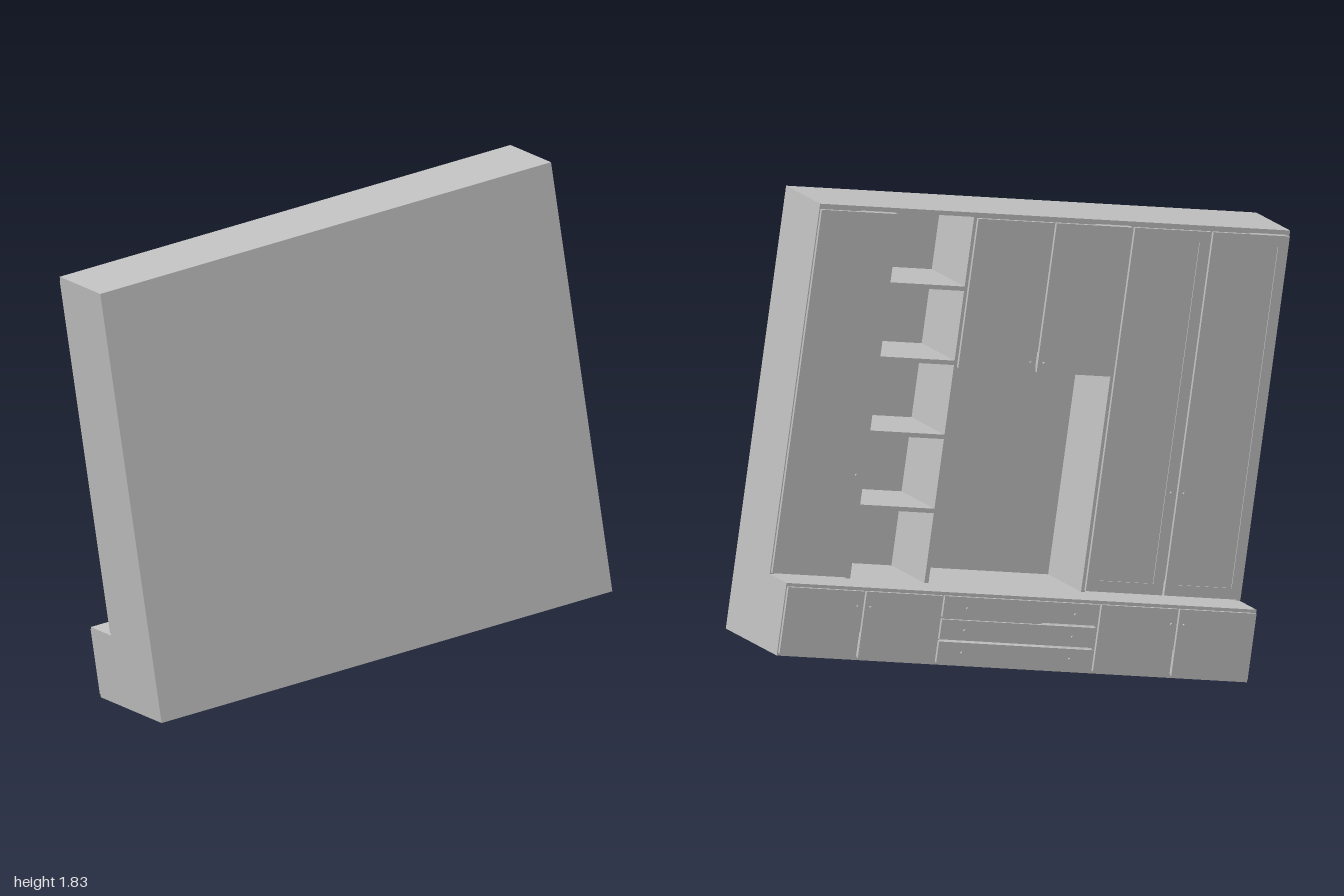
import * as THREE from 'three';

export function createModel() {
  const model = new THREE.Group();
  model.name = 'wallUnit';
  const paint = new THREE.MeshStandardMaterial({ color: 0xc4c4c4 });
  paint.name = 'light grey';

  // Cabinet is built upright, doors facing its own +z, then tilted as a whole.
  const cabinet = new THREE.Group();
  cabinet.name = 'cabinet';
  model.add(cabinet);

  const W = 1.83, H = 1.605, X0 = -W / 2, bay = W / 6;
  const baseH = 0.263, baseD = 0.456, topD = 0.305;
  const t = 0.016, gap = 0.004, doorT = 0.013;
  const hangV = 1.045; // underside of the hanging cupboard
  const bayX = (k) => X0 + bay * k;

  function add(name, geometry, x = 0, y = 0, z = 0) {
    const mesh = new THREE.Mesh(geometry, paint);
    mesh.name = name;
    mesh.position.set(x, y, z);
    cabinet.add(mesh);
    return mesh;
  }
  function panel(name, x0, x1, y0, y1, z0, z1) {
    return add(name, new THREE.BoxGeometry(x1 - x0, y1 - y0, z1 - z0),
      (x0 + x1) / 2, (y0 + y1) / 2, (z0 + z1) / 2);
  }
  function knob(x, y, z) {
    const g = new THREE.CylinderGeometry(0.006, 0.004, 0.013, 12);
    g.rotateX(Math.PI / 2);
    add('knob', g, x, y, z + 0.0065);
  }
  function rect(PathType, x0, x1, y0, y1) {
    return new PathType().moveTo(x0, y0).lineTo(x1, y0).lineTo(x1, y1).lineTo(x0, y1).closePath();
  }

  // L-shaped end panels
  const profile = new THREE.Shape([
    [0, 0], [baseD, 0], [baseD, baseH], [topD, baseH], [topD, H], [0, H],
  ].map(([z, y]) => new THREE.Vector2(-z, y)));
  for (const x of [X0, -X0 - t]) {
    const g = new THREE.ExtrudeGeometry(profile, { depth: t, bevelEnabled: false });
    g.rotateY(Math.PI / 2);
    add('endPanel', g, x);
  }

  // Carcass
  const L = X0 + t, R = -X0 - t;
  panel('backPanel', L, R, 0, H, 0, 0.01);
  panel('topPanel', L, R, H - t, H, 0.01, topD);
  panel('basePanel', L, R, 0, t, 0.01, baseD);
  panel('counter', L, R, baseH - t, baseH, 0.01, baseD);
  for (const k of [1, 2, 4]) {
    panel('partition', bayX(k) - t / 2, bayX(k) + t / 2, baseH, H - t, 0.01, topD);
  }
  for (const k of [2, 4]) {
    panel('basePartition', bayX(k) - t / 2, bayX(k) + t / 2, t, baseH - t, 0.01, baseD);
  }
  panel('hangingCupboardFloor', bayX(2) + t / 2, bayX(4) - t / 2, hangV, hangV + t, 0.01, topD);

  // Open shelves
  const step = (H - baseH) / 5;
  for (let i = 1; i < 5; i++) {
    const y = baseH + i * step;
    panel('shelf', bayX(1) + t / 2, bayX(2) - t / 2, y - t, y, 0.01, topD);
  }

  // Upper doors: wardrobe, hanging cupboard
  const doorTop = H - 0.019, front = topD + doorT;
  const tallBottom = baseH + 0.006;
  panel('wardrobeDoor', bayX(0) + gap, bayX(1) - gap, tallBottom, doorTop, topD, front);
  knob(bayX(1) - 0.03, 0.64, front);
  for (const k of [2, 3]) {
    panel('hangingDoor', bayX(k) + gap, bayX(k + 1) - gap, hangV, doorTop, topD, front);
    knob(bayX(3) + (k === 2 ? -0.025 : 0.025), hangV + 0.035, front);
  }

  // Tall framed doors with a shallow recessed field
  for (const k of [4, 5]) {
    const x0 = bayX(k) + gap, x1 = bayX(k + 1) - gap, inset = 0.04;
    panel('tallDoor', x0, x1, tallBottom, doorTop, topD, front - 0.004);
    const frame = rect(THREE.Shape, x0, x1, tallBottom, doorTop);
    frame.holes.push(rect(THREE.Path, x0 + inset, x1 - inset, tallBottom + inset, doorTop - inset));
    add('tallDoorFrame', new THREE.ExtrudeGeometry(frame, { depth: 0.004, bevelEnabled: false }),
      0, 0, front - 0.004);
    knob(bayX(5) + (k === 4 ? -0.025 : 0.025), 0.64, front);
  }

  // Base doors
  const lowY = 0.01, highY = baseH - 0.012, baseFront = baseD + doorT;
  for (const k of [0, 1, 4, 5]) {
    panel('baseDoor', bayX(k) + gap, bayX(k + 1) - gap, lowY, highY, baseD, baseFront);
    const middle = k < 2 ? 1 : 5;
    knob(bayX(middle) + (k < middle ? -0.025 : 0.025), highY - 0.055, baseFront);
  }

  // Three wide drawers
  const dh = (highY - lowY) / 3;
  for (let i = 0; i < 3; i++) {
    const y0 = lowY + i * dh;
    panel('drawer', bayX(2) + gap, bayX(4) - gap, y0 + (i ? gap : 0), y0 + dh - (i < 2 ? gap : 0), baseD, baseFront);
    for (const x of [bayX(2) + 0.095, bayX(4) - 0.095]) knob(x, y0 + dh / 2, baseFront);
  }

  // Tilt the unit, doors turned to the rear
  const across = new THREE.Vector3(-1.82, -0.2, 0.03).normalize();
  const up = new THREE.Vector3(-0.18, 1.59, -0.13);
  const out = across.clone().cross(up).normalize();
  up.crossVectors(out, across);
  cabinet.quaternion.setFromRotationMatrix(new THREE.Matrix4().makeBasis(across, up, out));

  // Centre it and stand it on the ground
  cabinet.updateMatrixWorld(true);
  const box = new THREE.Box3().setFromObject(cabinet, true);
  const c = box.getCenter(new THREE.Vector3());
  cabinet.position.set(-c.x, -box.min.y, -c.z);
  return model;
}
